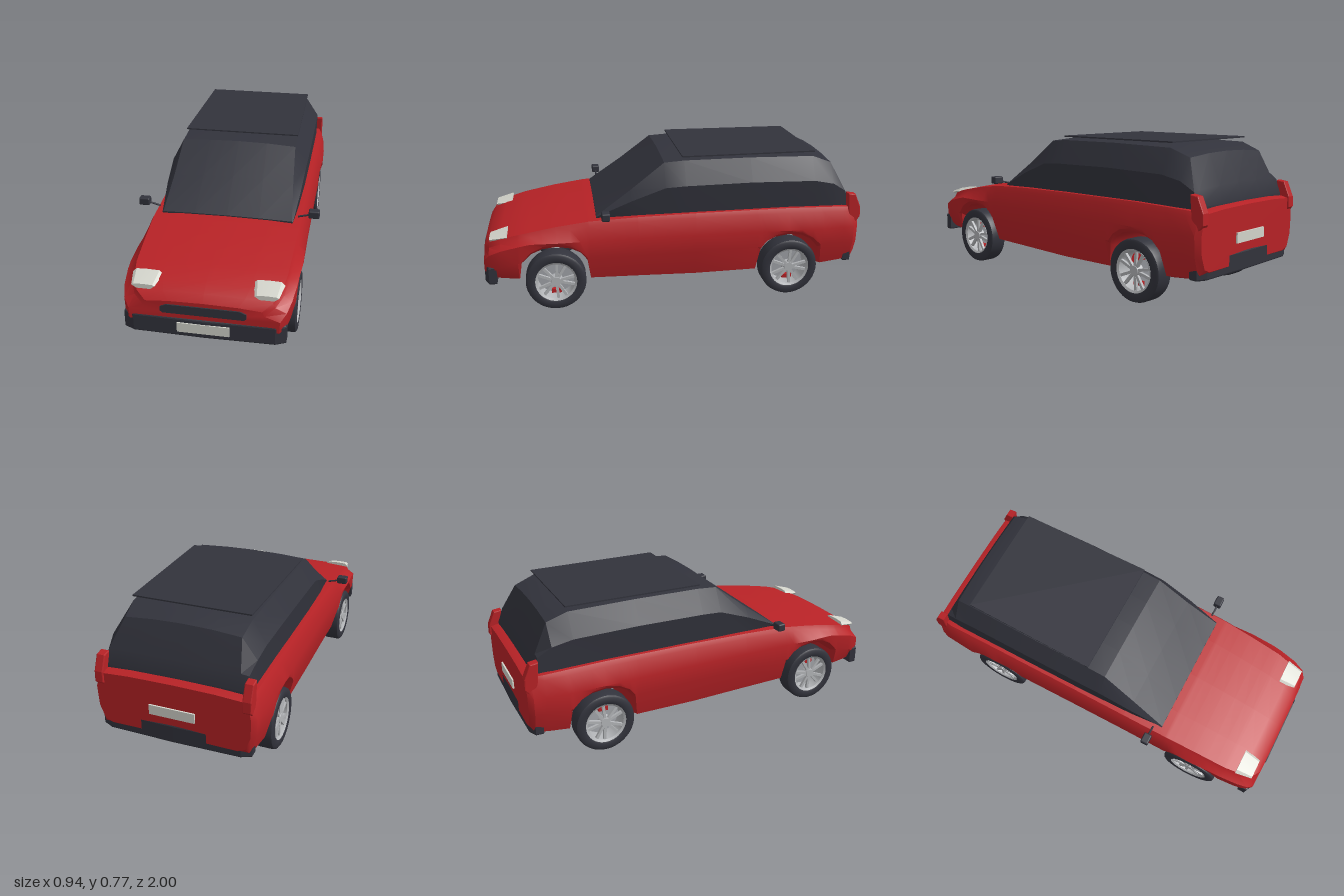
import * as THREE from 'three';
import { toCreasedNormals } from 'three/addons/utils/BufferGeometryUtils.js';
import { RoundedBoxGeometry } from 'three/addons/geometries/RoundedBoxGeometry.js';

const red = new THREE.MeshStandardMaterial({ name: 'bodyRed', color: 0xb82226 });
const dark = new THREE.MeshStandardMaterial({ name: 'darkTrim', color: 0x32333c });
const pale = new THREE.MeshStandardMaterial({ name: 'paleLens', color: 0xd4d5cc });
const silver = new THREE.MeshStandardMaterial({ name: 'rimSilver', color: 0xb4b6b9, side: THREE.DoubleSide });

function add(parent, name, geometry, material, x = 0, y = 0, z = 0) {
  const mesh = new THREE.Mesh(geometry, material);
  mesh.name = name;
  mesh.position.set(x, y, z);
  parent.add(mesh);
  return mesh;
}

// Skin over mirrored half sections, listed front to back; each runs bottom centre to top centre
function loft(sections, crease) {
  const pos = [], index = [];
  const rings = sections.map(({ z, half }) => [
    ...half.map(([x, y]) => [x, y, z]),
    ...half.slice(1, -1).reverse().map(([x, y]) => [-x, y, z]),
  ]);
  const n = rings[0].length, last = (rings.length - 1) * n;
  rings.forEach((ring) => ring.forEach((p) => pos.push(...p)));
  for (let i = 0; i < rings.length - 1; i++) {
    for (let j = 0; j < n; j++) {
      const k = (j + 1) % n, a = i * n + j, b = i * n + k;
      index.push(a, a + n, b, b, a + n, b + n);
    }
  }
  // End caps
  [rings[0], rings[rings.length - 1]].forEach((ring, e) => {
    const c = pos.length / 3;
    const h = ring.length / 2;
    pos.push(0, (ring[0][1] + ring[h][1]) / 2, ring[0][2]);
    for (let j = 0; j < n; j++) {
      const k = (j + 1) % n;
      if (e === 0) index.push(c, j, k);
      else index.push(c, last + k, last + j);
    }
  });
  const g = new THREE.BufferGeometry();
  g.setAttribute('position', new THREE.Float32BufferAttribute(pos, 3));
  g.setIndex(index);
  return toCreasedNormals(g, crease);
}

function extrude(points, depth, bevel = 0) {
  const shape = new THREE.Shape(points.map(([x, y]) => new THREE.Vector2(x, y)));
  return new THREE.ExtrudeGeometry(shape, {
    depth, bevelEnabled: bevel > 0, bevelSize: bevel, bevelThickness: bevel, bevelSegments: 2,
  });
}

// Linear lookup in a list of [z, value] going front to back
function lookup(table, z) {
  for (let i = 1; i < table.length; i++) {
    const [z0, v0] = table[i - 1], [z1, v1] = table[i];
    if (z >= z1) return THREE.MathUtils.lerp(v0, v1, Math.min(1, Math.max(0, (z0 - z) / (z0 - z1))));
  }
  return table[table.length - 1][1];
}

// Lower body with full-width wheel arches
function bodyGeometry() {
  const floor = [
    [0.988, 0.2], [0.96, 0.165], [0.9, 0.16], [0.815, 0.155], [0.8, 0.25], [0.75, 0.305], [0.69, 0.335], [0.62, 0.345],
    [0.55, 0.33], [0.5, 0.3], [0.465, 0.25], [0.45, 0.138], [0.2, 0.132], [-0.1, 0.125], [-0.43, 0.13],
    [-0.45, 0.25], [-0.48, 0.3], [-0.53, 0.33], [-0.6, 0.345], [-0.67, 0.335], [-0.73, 0.305], [-0.775, 0.25],
    [-0.79, 0.145], [-0.9, 0.155], [-0.96, 0.165], [-0.985, 0.2],
  ];
  const top = [[0.988, 0.335], [0.96, 0.368], [0.9, 0.395], [0.8, 0.42], [0.63, 0.452], [0.41, 0.482], [0, 0.492],
    [-0.6, 0.495], [-0.94, 0.488], [-0.985, 0.475]];
  const width = [[0.988, 0.352], [0.96, 0.378], [0.9, 0.395], [0.8, 0.408], [0.62, 0.418], [0.4, 0.41], [-0.4, 0.412],
    [-0.6, 0.42], [-0.8, 0.418], [-0.96, 0.405], [-0.985, 0.385]];
  const deck = [[0.988, 0.27], [0.96, 0.315], [0.9, 0.345], [0.8, 0.362], [0.41, 0.378], [-0.9, 0.38], [-0.985, 0.36]];
  return loft(floor.map(([z, yb]) => {
    const yt = lookup(top, z), w = lookup(width, z), d = lookup(deck, z);
    const lift = (yb - 0.13) / 0.215;
    const ym = Math.min(0.37, yt - 0.06);
    return { z, half: [
      [0, yb], [w - 0.09 + 0.07 * lift, yb], [w - 0.04 + 0.035 * lift, yb + 0.015],
      [w - 0.004, Math.max(yb + 0.018, ym - 0.09)], [w, Math.max(yb + 0.022, ym)],
      [d + 0.012, yt - 0.035], [d, yt - 0.012], [d * 0.6, yt - 0.003], [0, yt],
    ] };
  }), 0.55);
}

// Dark upper cabin: base, side crease, roof edge and crown at each station
function cabinGeometry() {
  const rows = [
    [0.412, 0.335, 0.34, 0.474, 0.335, 0.478, 0.483],
    [0.23, 0.35, 0.358, 0.555, 0.318, 0.605, 0.618],
    [0.055, 0.355, 0.368, 0.62, 0.306, 0.738, 0.75],
    [-0.05, 0.358, 0.37, 0.626, 0.306, 0.745, 0.758],
    [-0.4, 0.36, 0.37, 0.63, 0.305, 0.747, 0.76],
    [-0.74, 0.36, 0.366, 0.622, 0.3, 0.74, 0.755],
    [-0.845, 0.36, 0.362, 0.6, 0.29, 0.7, 0.716],
    [-0.915, 0.355, 0.35, 0.555, 0.31, 0.56, 0.57],
    [-0.942, 0.35, 0.35, 0.484, 0.345, 0.487, 0.49],
  ];
  return loft(rows.map(([z, xb, xc, yc, xr, yr, yt]) => ({
    z, half: [[0, 0.46], [xb, 0.46], [xc, yc], [xr, yr], [xr * 0.5, yr * 0.25 + yt * 0.75], [0, yt]],
  })), 0.4);
}

// Wheel built along y, with y pointing outwards
function makeWheel(name) {
  const wheel = new THREE.Group();
  wheel.name = name;
  const lathe = (pts) => toCreasedNormals(
    new THREE.LatheGeometry(pts.map(([r, y]) => new THREE.Vector2(r, y)), 40), 0.6);
  add(wheel, 'tire', lathe([[0.105, -0.045], [0.115, -0.05], [0.143, -0.05], [0.152, -0.044], [0.155, -0.034],
    [0.155, 0.034], [0.152, 0.044], [0.143, 0.05], [0.115, 0.05], [0.105, 0.045], [0.105, -0.045]]), dark);
  add(wheel, 'rim', lathe([[0.107, -0.047], [0.098, -0.045], [0.093, 0], [0.096, 0.042], [0.107, 0.049]]), silver);
  add(wheel, 'hub', new THREE.CylinderGeometry(0.024, 0.034, 0.03, 20), silver, 0, 0.028, 0);
  for (let i = 0; i < 10; i++) {
    const spoke = new THREE.BoxGeometry(0.078, 0.014, 0.014).translate(0.06, 0.033, 0);
    add(wheel, 'spoke', spoke.rotateY((i * Math.PI) / 5 + (i % 2 ? -0.08 : 0.08)), silver);
  }
  add(wheel, 'brakeCaliper', new THREE.BoxGeometry(0.022, 0.02, 0.05), red, 0.065, 0.005, 0);
  return wheel;
}

// Wraparound bumper, facing +z
function bumperGeometry() {
  const plan = [[-0.373, 0.935], [0.373, 0.935], [0.373, 0.962], [0.33, 0.982], [0, 0.988], [-0.33, 0.982], [-0.373, 0.962]];
  return extrude(plan, 0.08, 0.008).rotateX(Math.PI / 2);
}

export function createModel() {
  const car = new THREE.Group();
  car.name = 'car';
  add(car, 'body', bodyGeometry(), red);
  add(car, 'cabin', cabinGeometry(), dark);
  // Floating roof panel, slightly narrower at the back
  const panel = [[-0.31, 0.04], [0.31, 0.04], [0.3, 0.75], [-0.3, 0.75]].map(([x, z]) => [x, -z]);
  add(car, 'roofPanel', extrude(panel.reverse(), 0.007).rotateX(Math.PI / 2), dark, 0, 0.769, 0);

  // Bumpers, plates and grille
  add(car, 'frontBumper', bumperGeometry(), dark, 0, 0.237, 0);
  add(car, 'rearBumper', bumperGeometry(), dark, 0, 0.25, 0.008).rotation.y = Math.PI;
  add(car, 'frontPlate', new THREE.BoxGeometry(0.245, 0.05, 0.008), pale, 0, 0.2, 0.996);
  add(car, 'rearPlate', new THREE.BoxGeometry(0.23, 0.05, 0.008), pale, 0, 0.325, -0.99);
  const grille = [[-0.2, 0.28], [-0.19, 0.27], [0.19, 0.27], [0.2, 0.28], [0.2, 0.302], [0.17, 0.315], [-0.17, 0.315], [-0.2, 0.302]];
  add(car, 'grille', extrude(grille, 0.02), dark, 0, 0, 0.974);

  const lamp = loft([
    { z: 0.955, half: [[0, 0.364], [0.033, 0.364], [0.055, 0.38], [0.045, 0.386], [0, 0.388]] },
    { z: 0.865, half: [[0, 0.37], [0.05, 0.375], [0.073, 0.394], [0.055, 0.411], [0, 0.413]] },
  ], 0.4);
  const tail = [[-0.925, 0.545], [-0.958, 0.54], [-0.988, 0.47], [-0.99, 0.42], [-0.965, 0.39], [-0.935, 0.44]];
  const tailLamp = extrude(tail, 0.034, 0.005).rotateY(-Math.PI / 2).translate(0.017, 0, 0);

  for (const s of [1, -1]) {
    const side = s > 0 ? 'left' : 'right';
    add(car, side + 'Headlight', lamp, pale, s * 0.286, 0, 0);
    add(car, side + 'TailLight', tailLamp, red, s * 0.367, 0, 0);
    // Door mirror and its stalk
    add(car, side + 'Mirror', new RoundedBoxGeometry(0.056, 0.04, 0.042, 2, 0.007), dark, s * 0.443, 0.511, 0.37);
    const stalk = add(car, side + 'MirrorStalk', new THREE.CylinderGeometry(0.005, 0.005, 0.07, 8), dark, s * 0.395, 0.497, 0.37);
    stalk.rotation.z = -s * 1.32;
    for (const [end, z] of [['Front', 0.63], ['Rear', -0.61]]) {
      const wheel = makeWheel(side + end + 'Wheel');
      wheel.position.set(s * 0.358, 0.155, z);
      wheel.rotation.z = (-s * Math.PI) / 2;
      car.add(wheel);
    }
  }
  return car;
}
